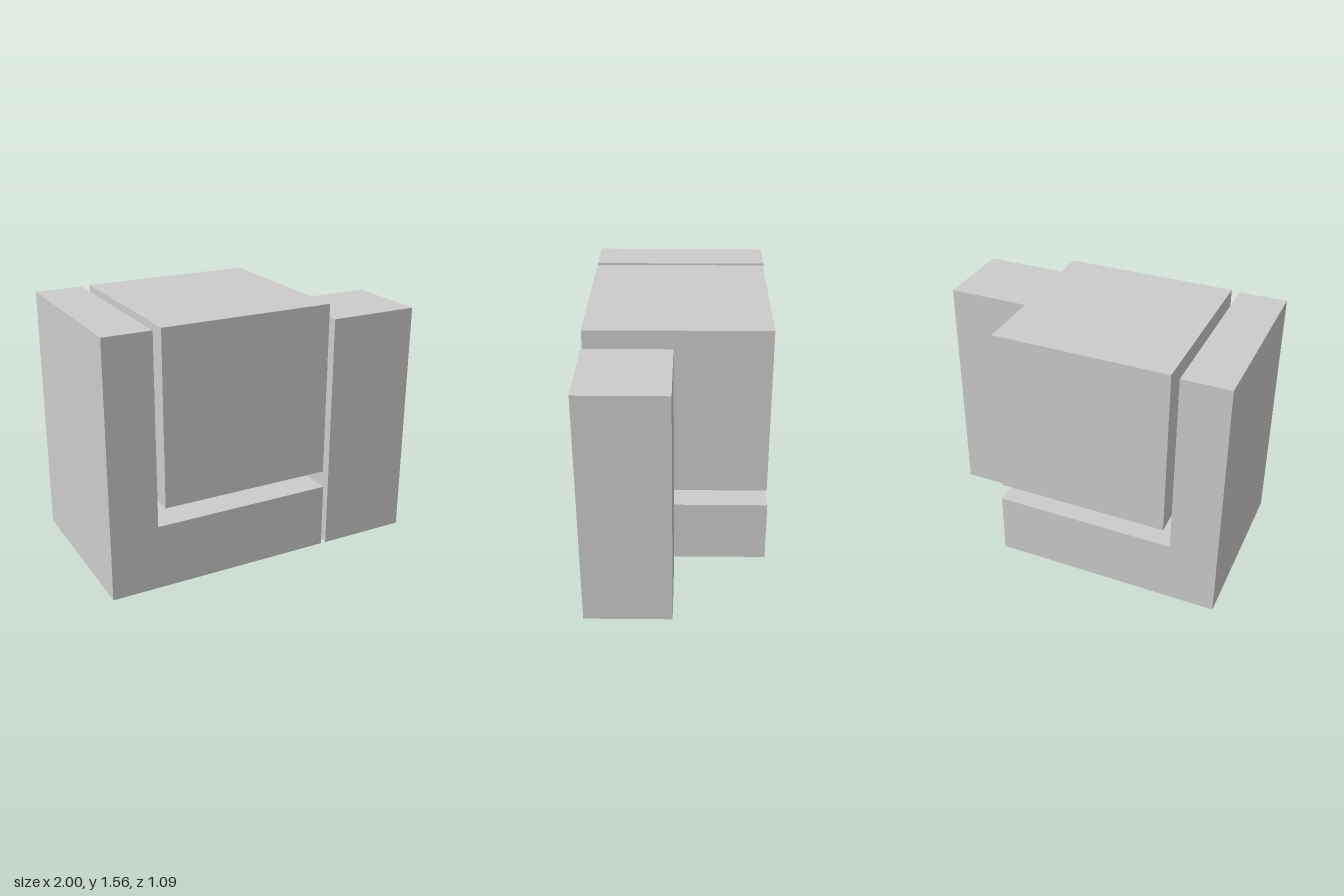
import * as THREE from 'three';

const material = new THREE.MeshStandardMaterial({ color: 0xcccccc, flatShading: true });

// Box given by its lower and upper corners
function block(name, [x0, y0, z0], [x1, y1, z1]) {
  const mesh = new THREE.Mesh(new THREE.BoxGeometry(x1 - x0, y1 - y0, z1 - z0), material);
  mesh.position.set((x0 + x1) / 2, (y0 + y1) / 2, (z0 + z1) / 2);
  mesh.name = name;
  return mesh;
}

export function createModel() {
  const model = new THREE.Group();
  model.name = 'blockArrangement';

  // L-shaped cradle: tall wall on the right, low base, extruded front to back
  const depth = 1.093;
  const profile = new THREE.Shape([
    [-1, 0], [0.407, 0], [0.407, 0.397], [-0.71, 0.397], [-0.71, 1.555], [-1, 1.555],
  ].map(([x, y]) => new THREE.Vector2(x, y)));
  const cradleGeometry = new THREE.ExtrudeGeometry(profile, { depth, bevelEnabled: false });
  cradleGeometry.translate(0, 0, -depth / 2);
  const cradle = new THREE.Mesh(cradleGeometry, material);
  cradle.name = 'lShapedCradle';
  model.add(cradle);

  // Large block floating inside the cradle
  model.add(block('floatingBlock', [-0.66, 0.502, -0.538], [0.402, 1.561, 0.543]));

  // Separate tower at the front left
  model.add(block('tower', [0.44, 0, 0.027], [1, 1.465, 0.547]));

  return model;
}
